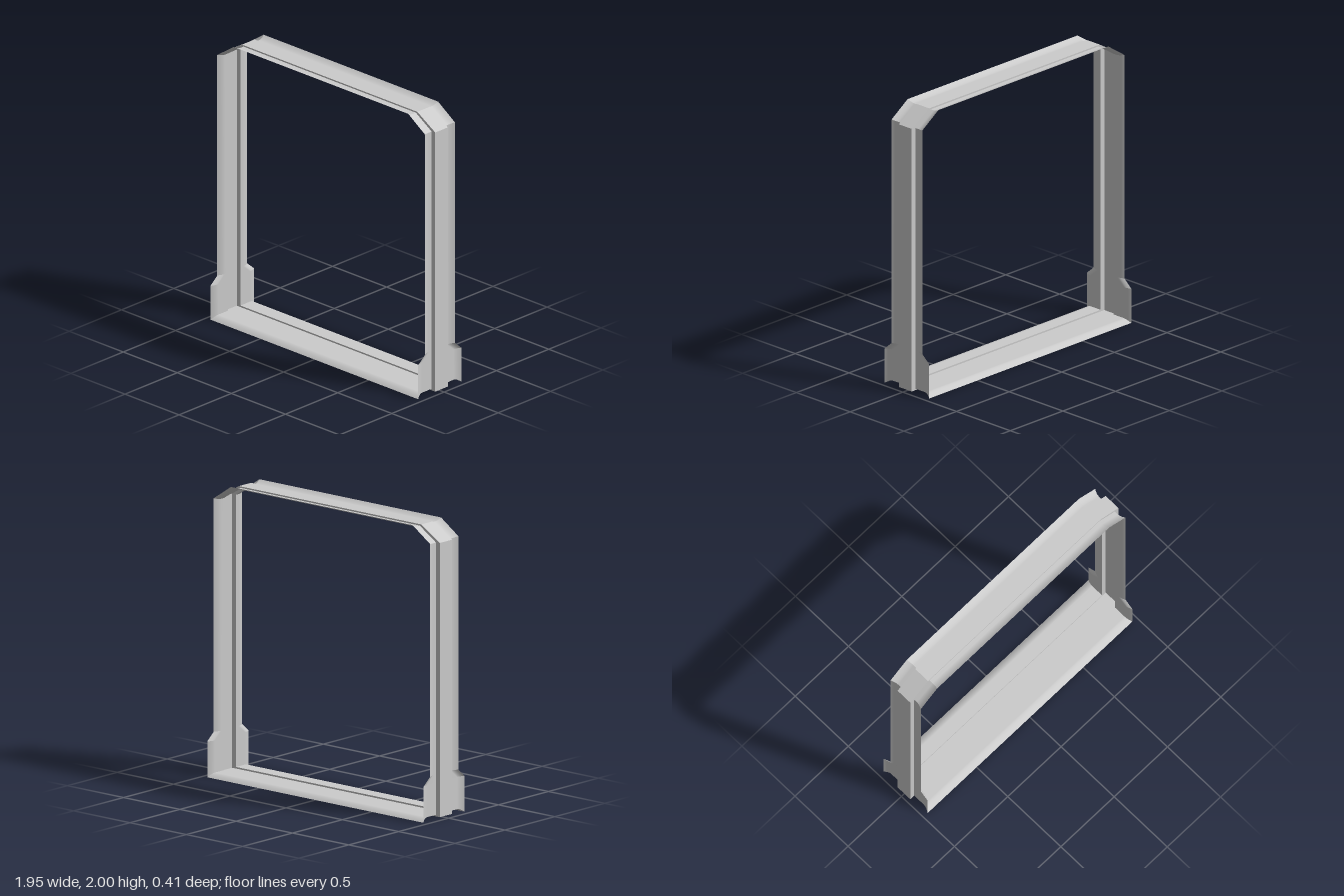
import * as THREE from 'three';
import { mergeGeometries } from 'three/addons/utils/BufferGeometryUtils.js';

const FOOT = 0.207, POST = 0.143, HALF = 0.06;

// stations up the left half: inner corner, outward flare, centre plate corner, flange reach in z
const half = [
  { p: [0.942, 0.025], f: [0.018, -0.025], c: [0.976, 0.014], reach: FOOT },
  { p: [0.942, 0.245], f: [0.018, 0], c: [0.976, 0.245], reach: FOOT },
  { p: [0.942, 0.3], f: [0.018, 0], c: [0.976, 0.3], reach: POST },
  { p: [0.942, 1.887], f: [0.018, 0.01], c: [0.976, 1.89], reach: POST },
  { p: [0.797, 1.98], f: [0.01, 0.02], c: [0.81, 1.99], reach: POST },
];
const flip = ([x, y]) => [-x, y];
const ring = [
  ...half,
  ...half.slice().reverse().map((s) => ({ p: flip(s.p), f: flip(s.f), c: flip(s.c), reach: s.reach })),
];

// cross-section rows at one station
const centreRow = (s) => [1, -1].map((k) => [...s.c, k * HALF]);
const stepRow = (side) => (s) => [[...s.p, side * HALF], [...s.c, side * HALF]];
const flangeRow = (side) => (s) => {
  const row = [[...s.p, side * HALF]];
  const steps = 8, lip = 0.055;
  for (let i = 0; i <= steps; i++) {
    const t = i / steps, bend = Math.pow(t, 1.8);
    row.push([s.p[0] + s.f[0] * bend, s.p[1] + s.f[1] * bend, side * (s.reach - lip * (1 - t))]);
  }
  return row;
};

// skin between two rows, smooth across the section
function strip(a, b) {
  const n = a.length, index = [];
  for (let i = 0; i < n - 1; i++) index.push(i, i + 1, n + i, i + 1, n + i + 1, n + i);
  const g = new THREE.BufferGeometry();
  g.setAttribute('position', new THREE.Float32BufferAttribute([...a, ...b].flat(), 3));
  g.setIndex(index);
  g.computeVertexNormals();
  return g;
}

// closed loop of mitred strips, creased at every corner
function loopGeometry(rowOf) {
  return mergeGeometries(ring.map((s, i) => strip(rowOf(s), rowOf(ring[(i + 1) % ring.length]))));
}

export function createModel() {
  const group = new THREE.Group();
  group.name = 'doorFrame';
  const material = new THREE.MeshStandardMaterial({ color: 0xcccccc, side: THREE.DoubleSide });
  const add = (name, rowOf) => {
    const mesh = new THREE.Mesh(loopGeometry(rowOf), material);
    mesh.name = name;
    group.add(mesh);
  };

  // recessed channel floor running around the opening
  add('centreBand', centreRow);

  // channel walls and flared flanges, front and back
  for (const [label, side] of [['front', 1], ['back', -1]]) {
    add(label + 'ChannelWall', stepRow(side));
    add(label + 'Flange', flangeRow(side));
  }
  return group;
}
